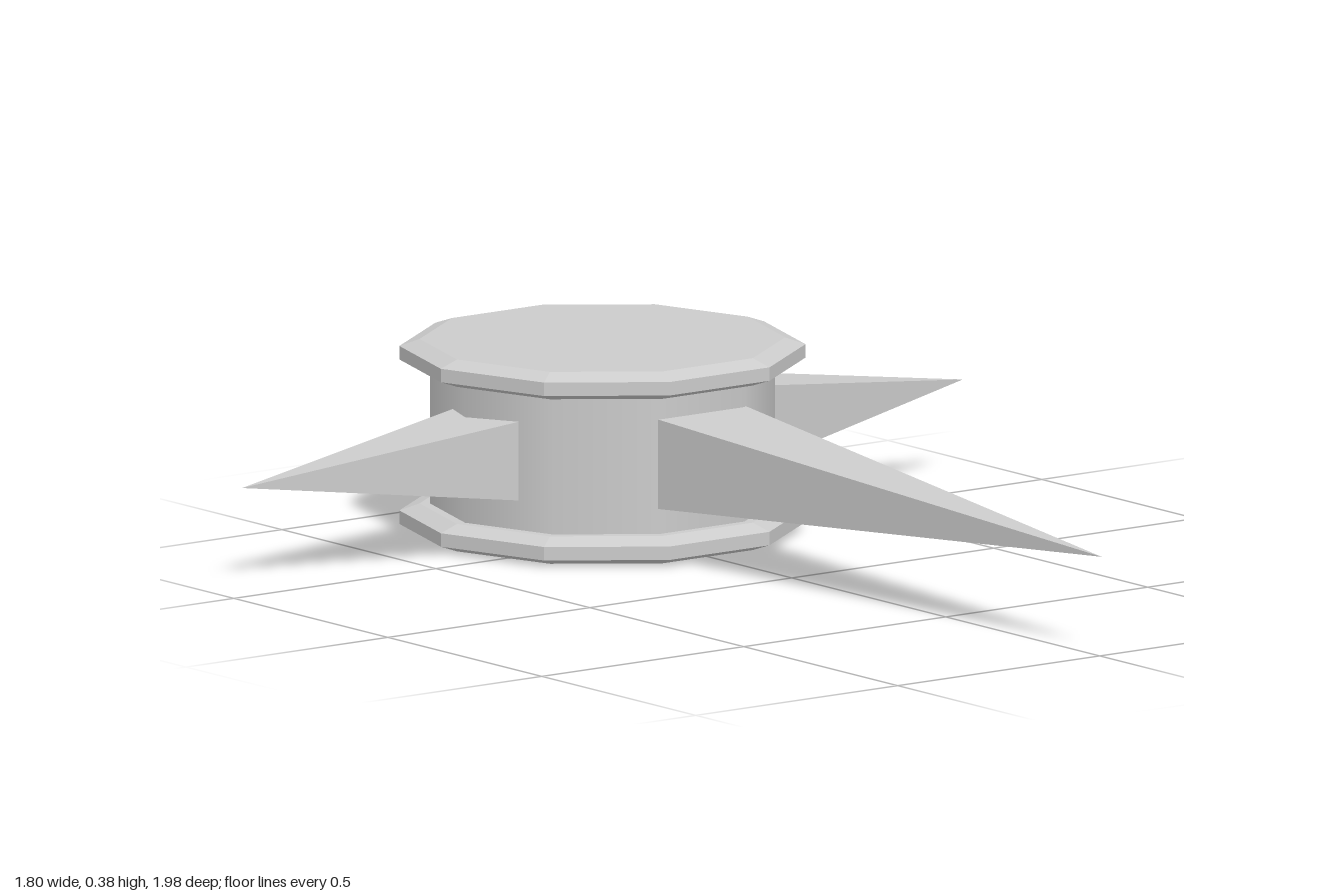
import * as THREE from 'three';

const SIDES = 10;
const HUB_Z = -0.615;

export function createModel() {
  const model = new THREE.Group();
  const smooth = new THREE.MeshStandardMaterial({ color: 0xcccccc });
  const flat = new THREE.MeshStandardMaterial({ color: 0xcccccc, flatShading: true });

  function add(name, geometry, material, x, y, z) {
    const mesh = new THREE.Mesh(geometry, material);
    mesh.name = name;
    mesh.position.set(x, y, z);
    model.add(mesh);
    return mesh;
  }

  // Ten-sided hub, softly shaded, with a corner on the x axis
  add('hub', new THREE.CylinderGeometry(0.34, 0.34, 0.29, SIDES, 1, true, Math.PI / SIDES),
    smooth, 0, 0.1925, HUB_Z);

  // Bevelled end plates
  const profile = [[0, 0], [0.36, 0], [0.4, 0.014], [0.4, 0.041], [0.36, 0.055], [0, 0.055]]
    .map(([r, y]) => new THREE.Vector2(r, y));
  const plate = new THREE.LatheGeometry(profile, SIDES, Math.PI / SIDES);
  add('bottomPlate', plate, flat, 0, 0, HUB_Z);
  add('topPlate', plate, flat, 0, 0.33, HUB_Z);

  // Four-sided spike pointing along +z, its tip shifted sideways
  function spike(width, height, length, tipShift) {
    const g = new THREE.ConeGeometry(Math.SQRT1_2, 1, 4, 1);
    g.rotateY(Math.PI / 4).translate(0, 0.5, 0).rotateX(Math.PI / 2).scale(width, height, length);
    const p = g.attributes.position;
    for (let i = 0; i < p.count; i++) p.setX(i, p.getX(i) + tipShift * p.getZ(i) / length);
    g.computeVertexNormals();
    return g;
  }

  add('frontSpike', spike(0.22, 0.18, 1.285, 0.013), flat, 0.002, 0.195, -0.297);
  add('leftSpike', spike(0.194, 0.158, 0.6, 0.03), flat, 0.3, 0.193, -0.595).rotation.y = Math.PI / 2;
  add('rightSpike', spike(0.194, 0.158, 0.6, -0.015), flat, -0.3, 0.193, -0.59).rotation.y = -Math.PI / 2;

  return model;
}
